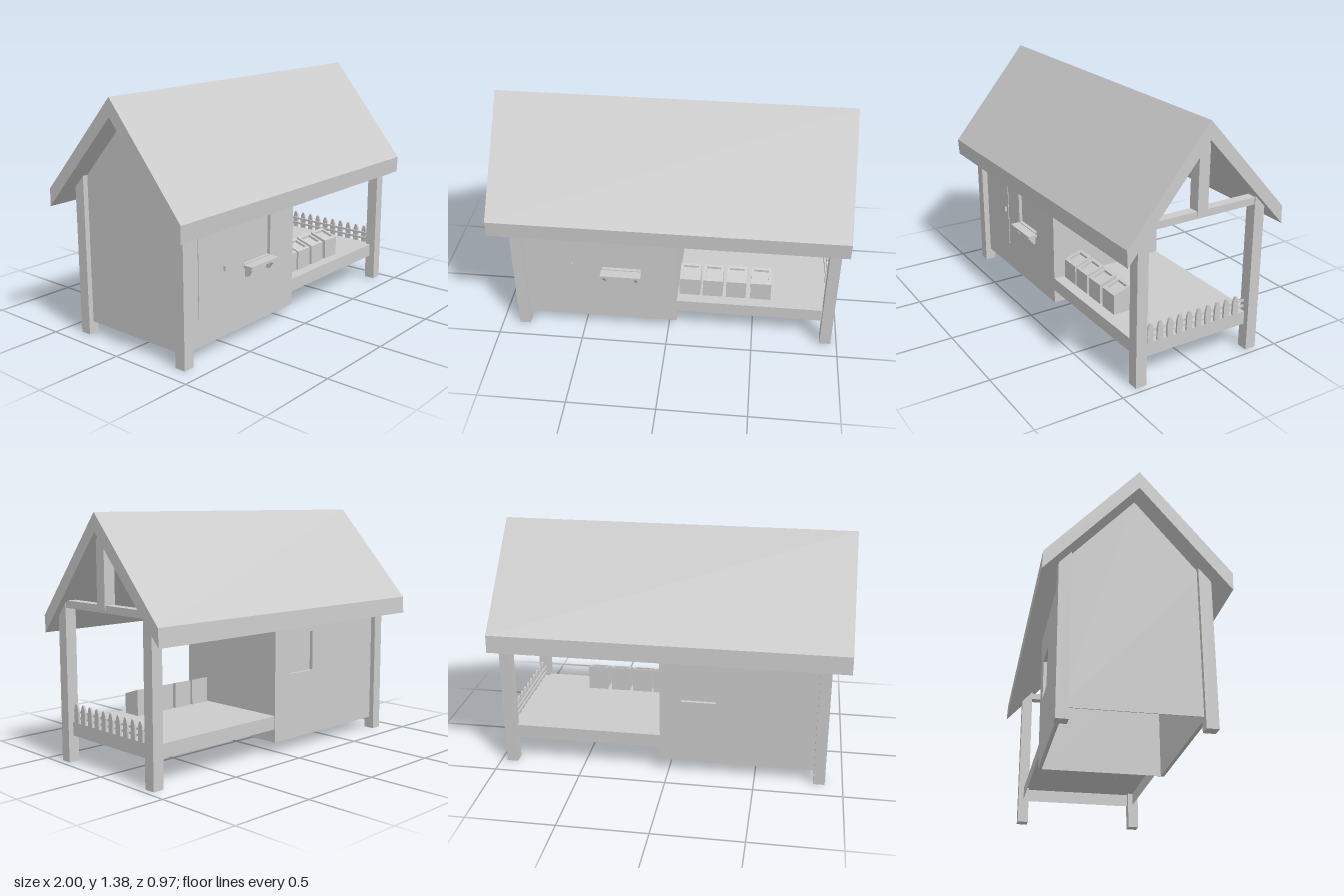
import * as THREE from 'three';

const mat = new THREE.MeshStandardMaterial({ color: 0xcccccc, flatShading: true, side: THREE.DoubleSide });

export function createModel() {
  const root = new THREE.Group();

  const add = (name, geo, parent = root) => {
    const m = new THREE.Mesh(geo, mat);
    m.name = name;
    parent.add(m);
    return m;
  };
  // box from its extents on each axis
  const box = (name, [x0, x1], [y0, y1], [z0, z1], parent) => add(name,
    new THREE.BoxGeometry(x1 - x0, y1 - y0, z1 - z0)
      .translate((x0 + x1) / 2, (y0 + y1) / 2, (z0 + z1) / 2), parent);
  const shapeOf = pts => new THREE.Shape(pts.map(p => new THREE.Vector2(p[0], p[1])));
  // profile of [z, y] points, extruded along x from x0 to x1
  const alongX = (name, pts, x0, x1, parent) => add(name,
    new THREE.ExtrudeGeometry(shapeOf(pts.map(([z, y]) => [-z, y])), { depth: x1 - x0, bevelEnabled: false })
      .rotateY(Math.PI / 2).translate(x0, 0, 0), parent);
  const rect = (x0, x1, y0, y1) => [[x0, y0], [x1, y0], [x1, y1], [x0, y1]];

  // Roof: one inverted V, ridge slightly off centre
  alongX('roof', [[0.485, 0.81], [0.012, 1.375], [-0.48, 0.835], [-0.485, 0.735],
    [0.01, 1.275], [0.48, 0.715]], -1, 1);

  // Corner posts
  for (const [x0, x1] of [[-0.9, -0.835], [0.9, 0.965]]) {
    box('frontPost', [x0, x1], [0, 0.89], [0.335, 0.4]);
    box('backPost', [x0, x1], [0, 0.91], [-0.39, -0.325]);
  }

  // Open gable truss over the porch
  box('tieBeam', [0.905, 0.96], [0.86, 0.9], [-0.33, 0.34]);
  box('kingPost', [0.9, 0.965], [0.875, 1.28], [-0.018, 0.047]);

  // Hut: gable walls, and long walls with a recessed window each, open below
  const zF = 0.365, zB = -0.36, t = 0.02;
  const gable = [[zF, 0.07], [zF, 0.86], [0.01, 1.29], [zB, 0.885], [zB, 0.07]];
  alongX('outerGableWall', gable, -0.87, -0.865);
  alongX('porchGableWall', gable, 0.045, 0.05);
  const longWall = (name, top, z, win) => {
    const s = shapeOf(rect(-0.87, 0.05, 0.07, top));
    s.holes.push(new THREE.Path(rect(...win).map(p => new THREE.Vector2(...p))));
    add(name, new THREE.ExtrudeGeometry(s, { depth: t, bevelEnabled: false }).translate(0, 0, z));
  };
  longWall('frontWall', 0.87, zF - t, [-0.385, -0.16, 0.43, 0.67]);
  box('frontWindowPane', [-0.39, -0.155], [0.425, 0.675], [zF - t - 0.008, zF - t]);
  longWall('backWall', 0.9, zB, [-0.27, -0.07, 0.45, 0.68]);
  box('backWindowPane', [-0.275, -0.065], [0.445, 0.685], [zB + t, zB + t + 0.008]);

  // Window sill on two brackets
  box('windowSill', [-0.39, -0.155], [0.41, 0.425], [0.33, 0.422]);
  for (const x of [-0.37, -0.185]) {
    alongX('sillBracket', [[zF, 0.36], [0.38, 0.36], [0.405, 0.395], [0.405, 0.41], [zF, 0.41]], x - 0.009, x + 0.009);
  }

  // Door with a small handle
  box('door', [-0.755, -0.53], [0.23, 0.675], [0.34, 0.369]);
  box('doorHandle', [-0.56, -0.552], [0.44, 0.47], [0.369, 0.381]);

  // Porch deck: a box without its underside
  const deck = new THREE.BoxGeometry(0.885, 0.077, 0.722);
  deck.setIndex([...deck.index.array].filter((_, i) => i < 18 || i >= 24));
  deck.translate(0.4925, 0.1865, 0.003);
  add('porchDeck', deck);

  // Picket fence along the open end
  const fence = new THREE.Group();
  fence.name = 'picketFence';
  root.add(fence);
  for (const y of [0.247, 0.281]) box('fenceRail', [0.918, 0.927], [y, y + 0.012], [-0.33, 0.34], fence);
  const half = [[0.018, 0.225], [0.018, 0.29], [0.014, 0.312], [0.007, 0.33]];
  const picket = [...half, [0, 0.335], ...half.map(([z, y]) => [-z, y]).reverse()];
  for (let i = 0; i < 10; i++) {
    const z = 0.296 - i * 0.0615;
    alongX('picket', picket.map(([a, y]) => [a + z, y]), 0.927, 0.939, fence);
  }

  // Row of bins with a sloping, recessed top
  const slope = (z, drop = 0) => 0.34 + (0.3 - z) / 0.11 * 0.035 - drop;
  const slab = (name, z0, z1, x0, x1, drop, parent) => alongX(name,
    [[z1, 0.22], [z1, slope(z1, drop)], [z0, slope(z0, drop)], [z0, 0.22]], x0, x1, parent);
  for (const [x0, x1] of [[0.062, 0.183], [0.198, 0.315], [0.335, 0.452], [0.478, 0.597]]) {
    const bin = new THREE.Group();
    bin.name = 'bin';
    root.add(bin);
    const w = 0.017;
    slab('binSide', 0.19, 0.3, x0, x0 + w, 0, bin);
    slab('binSide', 0.19, 0.3, x1 - w, x1, 0, bin);
    slab('binFront', 0.3 - w, 0.3, x0 + w, x1 - w, 0, bin);
    slab('binBack', 0.19, 0.19 + w, x0 + w, x1 - w, 0, bin);
    slab('binFill', 0.19 + w, 0.3 - w, x0 + w, x1 - w, 0.014, bin);
  }

  return root;
}
